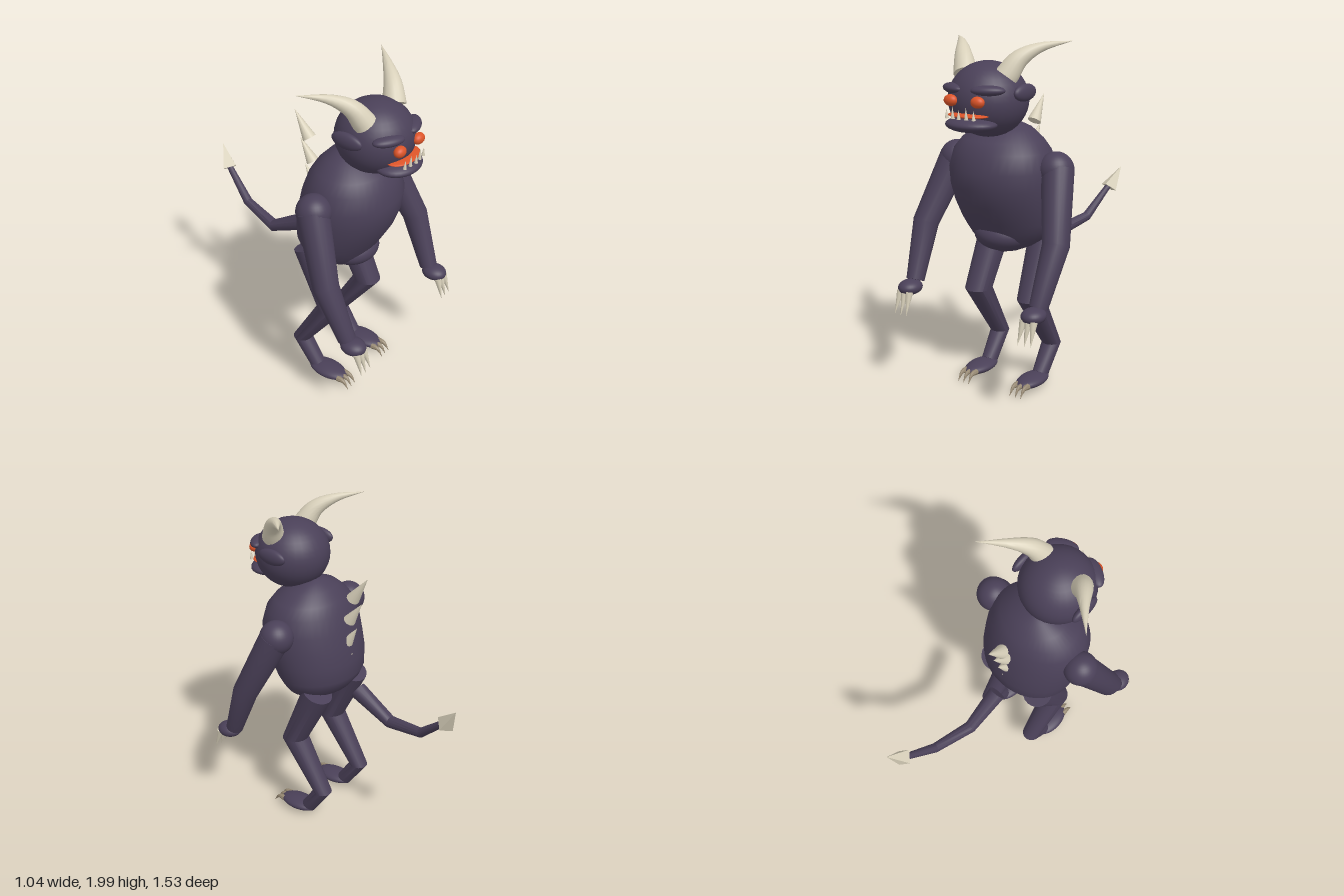
import * as THREE from 'three';
import { toCreasedNormals } from 'three/addons/utils/BufferGeometryUtils.js';

const V = (x, y, z) => new THREE.Vector3(x, y, z);
const mat = (name, color) => {
  const m = new THREE.MeshStandardMaterial({ color });
  m.name = name;
  return m;
};

// Closed surface through a list of rings of points, capped at both ends
function skin(rings) {
  const n = rings[0].length, pos = [], idx = [];
  rings.forEach(r => r.forEach(p => pos.push(p.x, p.y, p.z)));
  for (let i = 0; i < rings.length - 1; i++) {
    for (let j = 0; j < n; j++) {
      const k = (j + 1) % n;
      const a = i * n + j, b = i * n + k, c = a + n, d = b + n;
      idx.push(a, b, d, a, d, c);
    }
  }
  [0, rings.length - 1].forEach((r, end) => {
    const c = pos.length / 3;
    const m = rings[r].reduce((s, p) => s.add(p), V(0, 0, 0)).divideScalar(n);
    pos.push(m.x, m.y, m.z);
    for (let j = 0; j < n; j++) {
      const a = r * n + j, b = r * n + (j + 1) % n;
      if (end) idx.push(c, a, b); else idx.push(c, b, a);
    }
  });
  const g = new THREE.BufferGeometry();
  g.setAttribute('position', new THREE.Float32BufferAttribute(pos, 3));
  g.setIndex(idx);
  g.computeVertexNormals();
  return g;
}

// Tapered round limb along points, one radius per point, creased at the joints
function limb(points, radii, sides = 20) {
  const rings = points.map((p, i) => {
    const t = V(0, 0, 0);
    if (i > 0) t.add(p.clone().sub(points[i - 1]).normalize());
    if (i < points.length - 1) t.add(points[i + 1].clone().sub(p).normalize());
    t.normalize();
    const v = t.clone().cross(V(1, 0, 0)).normalize();
    const u = v.clone().cross(t);
    return Array.from({ length: sides }, (_, j) => {
      const a = j / sides * Math.PI * 2;
      return p.clone().addScaledVector(u, Math.cos(a) * radii[i]).addScaledVector(v, Math.sin(a) * radii[i]);
    });
  });
  return toCreasedNormals(skin(rings), 0.5);
}

// Smoothly curved, pointed horn or claw
function curvedHorn(points, radius, steps, sides) {
  const pts = new THREE.CatmullRomCurve3(points).getPoints(steps);
  return limb(pts, pts.map((_, i) => Math.max(radius * (1 - (i / steps) ** 1.3), 0.001)), sides);
}

// Straight cone from base to tip
function spike(base, tip, radius, sides = 12) {
  const d = tip.clone().sub(base);
  const g = new THREE.ConeGeometry(radius, d.length(), sides);
  g.translate(0, d.length() / 2, 0);
  g.applyQuaternion(new THREE.Quaternion().setFromUnitVectors(V(0, 1, 0), d.normalize()));
  return g.translate(base.x, base.y, base.z);
}

export function createModel() {
  const root = new THREE.Group();
  root.name = 'hornedCreature';
  const hide = mat('purple hide', 0x4a4058);
  const bone = mat('bone', 0xd8d0ba);
  const darkClaw = mat('dark claw', 0x968872);
  const ember = mat('ember orange', 0xdc5428);

  const add = (name, geo, material) => {
    const m = new THREE.Mesh(geo, material);
    m.name = name;
    root.add(m);
    return m;
  };
  const ball = (name, c, r, material = hide) => {
    const m = add(name, new THREE.SphereGeometry(1, 32, 20), material);
    m.position.set(...c);
    m.scale.set(...r);
    return m;
  };

  // Torso: rows of height, front z, rear z, half width
  const sections = [
    [0.805, 0.37, 0.33, 0.02], [0.82, 0.40, 0.25, 0.09], [0.85, 0.43, 0.17, 0.16],
    [0.9, 0.465, 0.10, 0.235], [0.95, 0.49, 0.06, 0.273], [1.0, 0.52, 0.038, 0.295],
    [1.1, 0.575, 0.035, 0.312], [1.2, 0.61, 0.053, 0.318], [1.3, 0.62, 0.075, 0.316],
    [1.4, 0.59, 0.11, 0.288], [1.46, 0.545, 0.145, 0.24], [1.52, 0.46, 0.2, 0.165],
    [1.555, 0.37, 0.265, 0.075], [1.565, 0.32, 0.3, 0.01],
  ];
  add('torso', skin(sections.map(([y, f, b, w]) => Array.from({ length: 40 }, (_, j) => {
    const a = -j / 40 * Math.PI * 2;
    return V(Math.cos(a) * w, y, (f + b) / 2 + Math.sin(a) * (f - b) / 2);
  })), hide), hide);
  ball('belly', [0, 0.915, 0.35], [0.17, 0.1, 0.155]);

  // Head, jaw and mouth
  ball('head', [0, 1.69, 0.475], [0.22, 0.205, 0.22]);
  ball('jaw', [0, 1.572, 0.63], [0.15, 0.043, 0.12]);
  ball('mouth', [0, 1.622, 0.655], [0.125, 0.014, 0.075], ember);
  for (let i = -2; i <= 2; i++) {
    const x = i * 0.044, z = 0.737 - Math.abs(i) * 0.006;
    add('tooth', spike(V(x, 1.61, z), V(x, i % 2 ? 1.675 : 1.66, z + 0.002), 0.011, 6), bone);
  }

  for (const s of [1, -1]) {
    const P = (x, y, z) => V(x * s, y, z);

    // Face and horns
    ball('eye', [0.088 * s, 1.7, 0.69], [0.041, 0.031, 0.03], ember);
    ball('brow', [0.115 * s, 1.757, 0.635], [0.092, 0.028, 0.045]).rotation.y = 0.5 * s;
    ball('ear', [0.217 * s, 1.735, 0.445], [0.03, 0.047, 0.095]);
    add('horn', curvedHorn([P(0.135, 1.82, 0.5), P(0.185, 1.91, 0.45), P(0.26, 1.967, 0.365),
      P(0.38, 1.998, 0.24)], 0.065, 14, 16), bone);

    // Arm, hand and finger claws
    ball('shoulder', [0.338 * s, 1.312, 0.327], [0.1, 0.1, 0.1]);
    add('arm', limb([P(0.35, 1.31, 0.33), P(0.447, 0.945, 0.495), P(0.425, 0.63, 0.63)],
      [0.092, 0.075, 0.052]), hide);
    ball('hand', [0.425 * s, 0.6, 0.675], [0.066, 0.044, 0.076]);
    for (const i of [-1, 0, 1]) {
      add('fingerClaw', spike(P(0.425 + i * 0.032, 0.585, 0.722),
        P(0.425 + i * 0.042, i ? 0.455 : 0.45, 0.768), 0.022, 10), bone);
    }

    // Leg, foot and toe claws
    add('leg', limb([P(0.172, 0.92, 0.17), P(0.185, 0.55, 0.345), P(0.187, 0.22, 0.135),
      P(0.185, 0.06, 0.25)], [0.093, 0.081, 0.057, 0.047]), hide);
    ball('foot', [0.185 * s, 0.052, 0.332], [0.075, 0.034, 0.13]);
    for (const i of [-1, 0, 1]) {
      add('toeClaw', curvedHorn([P(0.185 + i * 0.034, 0.05, 0.43), P(0.185 + i * 0.036, 0.048, 0.475),
        P(0.185 + i * 0.037, 0.005, 0.51)], 0.019, 6, 8), darkClaw);
    }
  }

  // Spikes down the spine, shrinking toward the waist
  [[1.51, 0.035, 1.66, -0.07, 0.04], [1.365, 0.06, 1.495, -0.03, 0.037],
    [1.22, 0.075, 1.33, 0.005, 0.033], [1.07, 0.095, 1.16, 0.037, 0.028]].forEach(([y0, z0, y1, z1, r]) => {
    add('backSpike', spike(V(0, y0, z0), V(0, y1, z1), r, 14), bone);
  });

  // Tail with a flat-sided point
  add('tail', limb([V(0, 0.918, -0.002), V(0, 0.785, -0.24), V(0.05, 0.832, -0.49), V(0.1, 1.01, -0.69)],
    [0.053, 0.038, 0.029, 0.018], 14), hide);
  const point = spike(V(0.1, 0.99, -0.68), V(0.14, 1.118, -0.766), 0.056, 4).toNonIndexed();
  point.computeVertexNormals();
  add('tailPoint', point, bone);

  return root;
}
